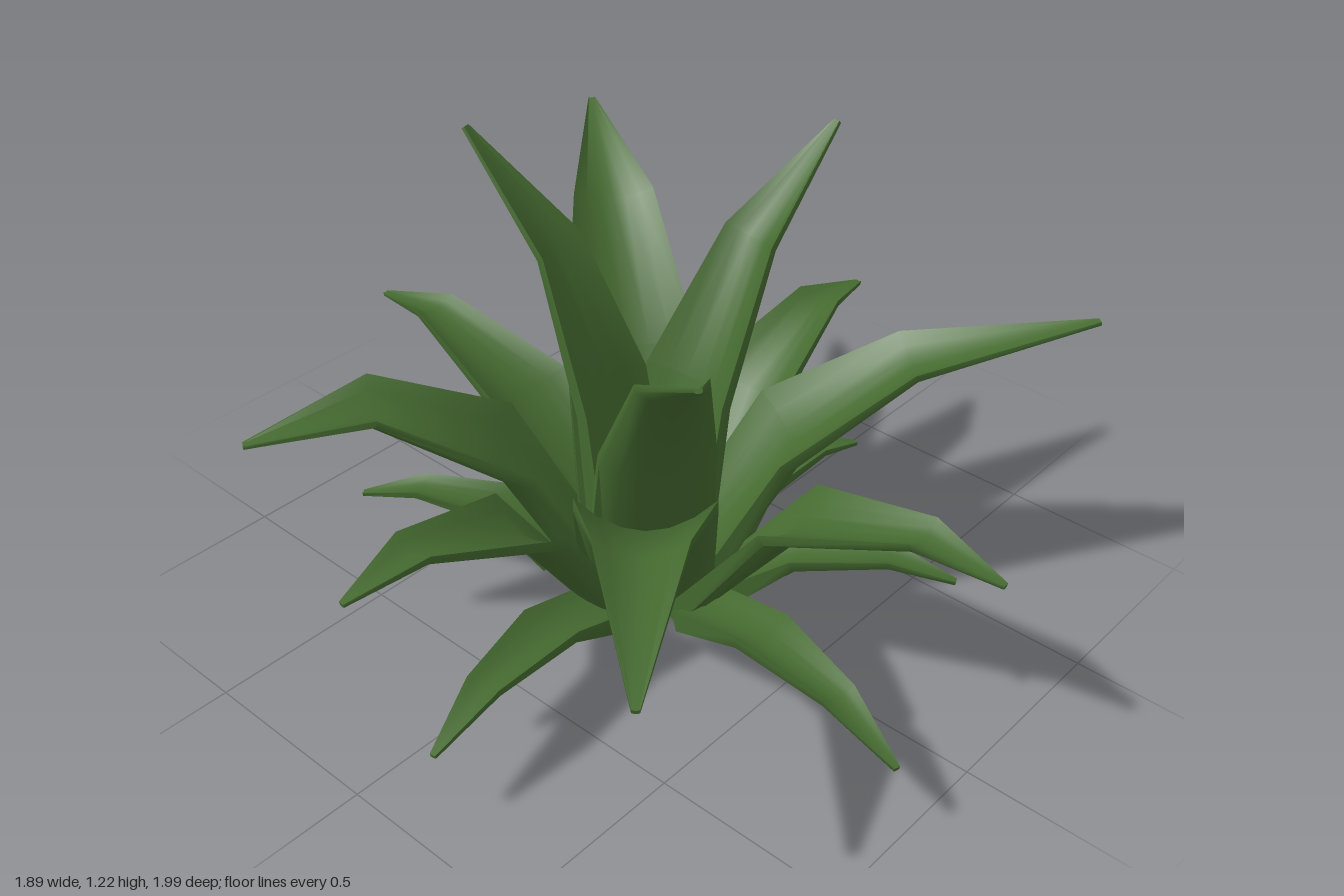
import * as THREE from 'three';
import { toCreasedNormals } from 'three/addons/utils/BufferGeometryUtils.js';

const ACROSS = 7; // points across a leaf

// Channelled leaf growing along +z. Each station: [radius, height, width, channel depth, thickness]
function leafGeometry(stations) {
  const pos = [], index = [], ring = ACROSS * 2;
  stations.forEach(([r, y, w, depth, thick], i) => {
    const a = stations[Math.max(i - 1, 0)];
    const b = stations[Math.min(i + 1, stations.length - 1)];
    const t = new THREE.Vector2(b[0] - a[0], b[1] - a[1]).normalize();
    const nz = -t.y, ny = t.x;
    for (let k = 0; k < ring; k++) {
      const upper = k < ACROSS;
      const u = ((upper ? k : ring - 1 - k) / (ACROSS - 1)) * 2 - 1;
      const lift = depth * (u * u - 0.4) + (upper ? thick / 2 : -thick / 2);
      pos.push(u * w / 2, y + ny * lift, r + nz * lift);
    }
  });
  const last = (stations.length - 1) * ring;
  for (let s = 0; s < last; s += ring) {
    for (let k = 0; k < ring; k++) {
      const a = s + k, b = s + (k + 1) % ring, c = b + ring, d = a + ring;
      index.push(a, d, c, a, c, b);
    }
  }
  // End caps
  for (let j = 0; j < ACROSS - 1; j++) {
    const a = j, b = j + 1, c = ring - 2 - j, d = ring - 1 - j;
    index.push(a, b, c, a, c, d);
    index.push(last + a, last + c, last + b, last + a, last + d, last + c);
  }
  const geo = new THREE.BufferGeometry();
  geo.setAttribute('position', new THREE.Float32BufferAttribute(pos, 3));
  geo.setIndex(index);
  return toCreasedNormals(geo, Math.PI / 3);
}

export function createModel() {
  const plant = new THREE.Group();
  plant.name = 'rosettePlant';
  const green = new THREE.MeshStandardMaterial({ color: 0x456a30 });
  green.name = 'leafGreen';

  // tip: [x, y, z]; path: [radius, height] of base, lower bend and upper bend
  function addLeaf(name, tip, path, widths, depths) {
    const [x, y, z] = tip;
    const thick = [0.055, 0.028, 0.018, 0.01];
    const points = [...path, [Math.hypot(x, z), y]];
    const stations = points.map((p, i) => [...p, widths[i], depths[i], thick[i]]);
    const leaf = new THREE.Mesh(leafGeometry(stations), green);
    leaf.name = name;
    leaf.rotation.y = Math.atan2(x, z);
    plant.add(leaf);
  }

  // Low outer leaves
  const low = [[0.21, -0.84], [0.735, -0.45], [0.675, 0.165], [0.355, 0.71],
    [-0.265, 0.97], [-0.92, 0.19], [-0.395, -0.67]];
  low.forEach(([x, z], i) => {
    const r = Math.hypot(x, z);
    addLeaf(`lowLeaf${i + 1}`, [x, 0.193, z],
      [[0.25, 0.095], [r * 0.5, 0.197], [r * 0.79, 0.233]],
      [0.17, 0.155, 0.09, 0.015], [0.01, 0.03, 0.016, 0.002]);
  });

  // Spreading leaves
  const spread = [[0, -1], [0.945, -0.05], [0.075, 0.99], [-0.945, -0.045]];
  spread.forEach(([x, z], i) => {
    const r = Math.hypot(x, z);
    addLeaf(`spreadingLeaf${i + 1}`, [x, 0.51, z],
      [[0.18, 0.075], [r * 0.45, 0.42], [r * 0.79, 0.54]],
      [0.27, 0.255, 0.125, 0.015], [0.015, 0.05, 0.026, 0.002]);
  });

  // Broad arching leaves
  const broadWidths = [0.33, 0.34, 0.21, 0.018], broadDepths = [0.02, 0.075, 0.045, 0.003];
  [
    [[-0.815, 0.625, -0.545], [[0.12, 0.06], [0.36, 0.49], [0.68, 0.68]]],
    [[-0.835, 0.61, 0.72], [[0.11, 0.06], [0.36, 0.49], [0.7, 0.675]]],
    [[0.805, 0.77, 0.765], [[0.1, 0.05], [0.35, 0.46], [0.65, 0.67]]],
    [[0.585, 0.985, -0.745], [[0.08, 0.04], [0.3, 0.57], [0.57, 0.87]]],
  ].forEach(([tip, path], i) => addLeaf(`archingLeaf${i + 1}`, tip, path, broadWidths, broadDepths));

  // Upright heart leaves
  const heartWidths = [0.34, 0.29, 0.17, 0.018], heartDepths = [0.015, 0.06, 0.04, 0.003];
  [
    [[-0.435, 1.07, 0.525], [[0.0, 0.025], [0.18, 0.52], [0.38, 0.86]]],
    [[0.595, 1.17, 0.09], [[0.03, 0.02], [0.16, 0.58], [0.34, 0.93]]],
    [[-0.11, 1.215, -0.495], [[0.04, 0.008], [0.14, 0.58], [0.27, 0.95]]],
  ].forEach(([tip, path], i) => addLeaf(`heartLeaf${i + 1}`, tip, path, heartWidths, heartDepths));

  return plant;
}
